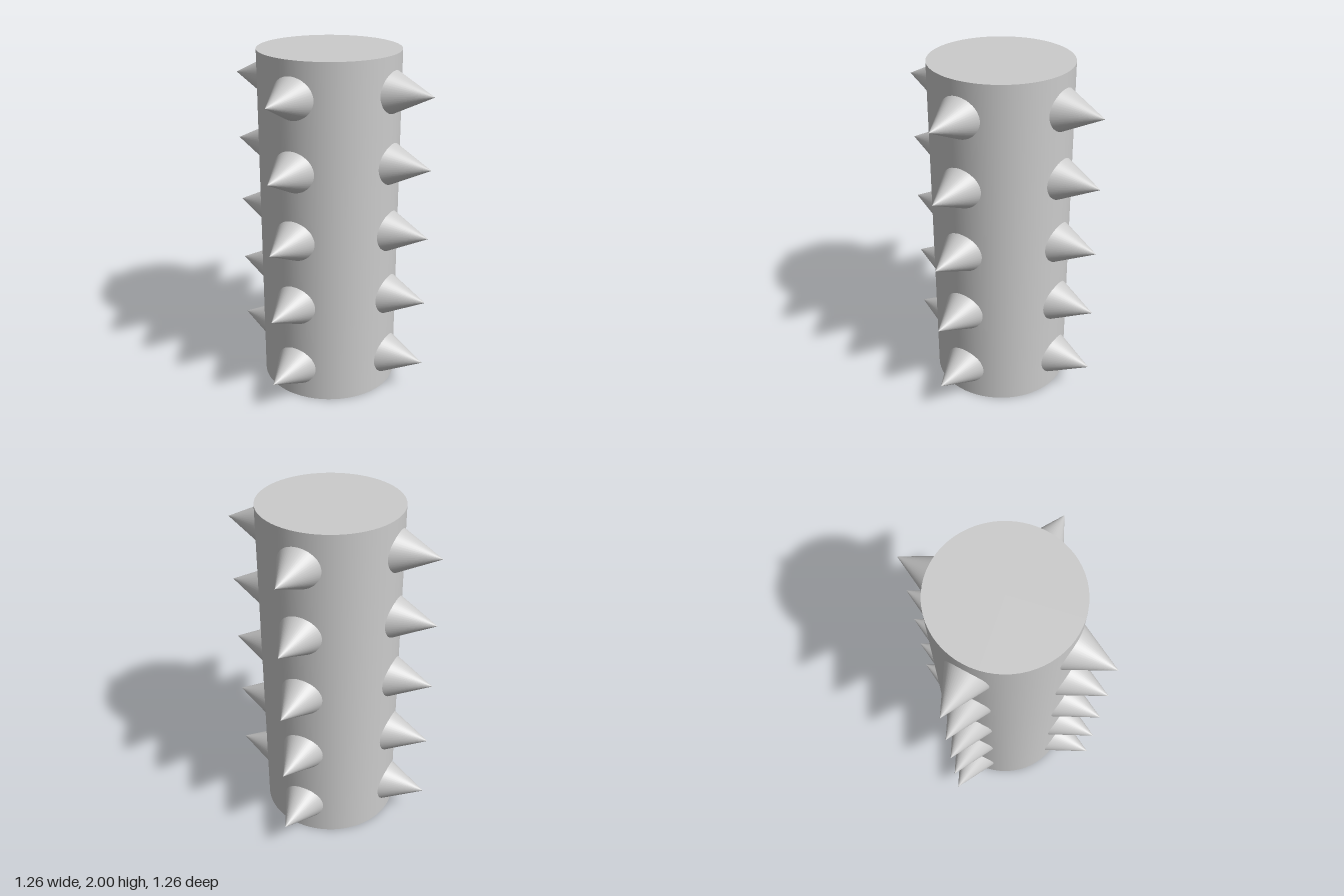
import * as THREE from 'three';

export function createModel() {
  const model = new THREE.Group();
  model.name = 'spikedPillar';
  const material = new THREE.MeshStandardMaterial({ color: 0xcccccc });

  // Solid round column
  const column = new THREE.Mesh(new THREE.CylinderGeometry(0.4, 0.4, 2, 64), material);
  column.name = 'column';
  column.position.y = 1;
  model.add(column);

  // One spike pointing along +z, its base sunk into the column
  const spikeGeometry = new THREE.ConeGeometry(0.15, 0.3, 48);
  spikeGeometry.rotateX(Math.PI / 2);
  spikeGeometry.translate(0, 0, 0.482);

  // Five rings of four spikes
  const sides = ['front', 'left', 'back', 'right'];
  for (let row = 0; row < 5; row++) {
    const ring = new THREE.Group();
    ring.name = `spikeRing${row + 1}`;
    ring.position.y = 0.2 + row * 0.4;
    sides.forEach((side, i) => {
      const spike = new THREE.Mesh(spikeGeometry, material);
      spike.name = `${side}Spike`;
      spike.rotation.y = (i * Math.PI) / 2;
      ring.add(spike);
    });
    model.add(ring);
  }
  return model;
}
